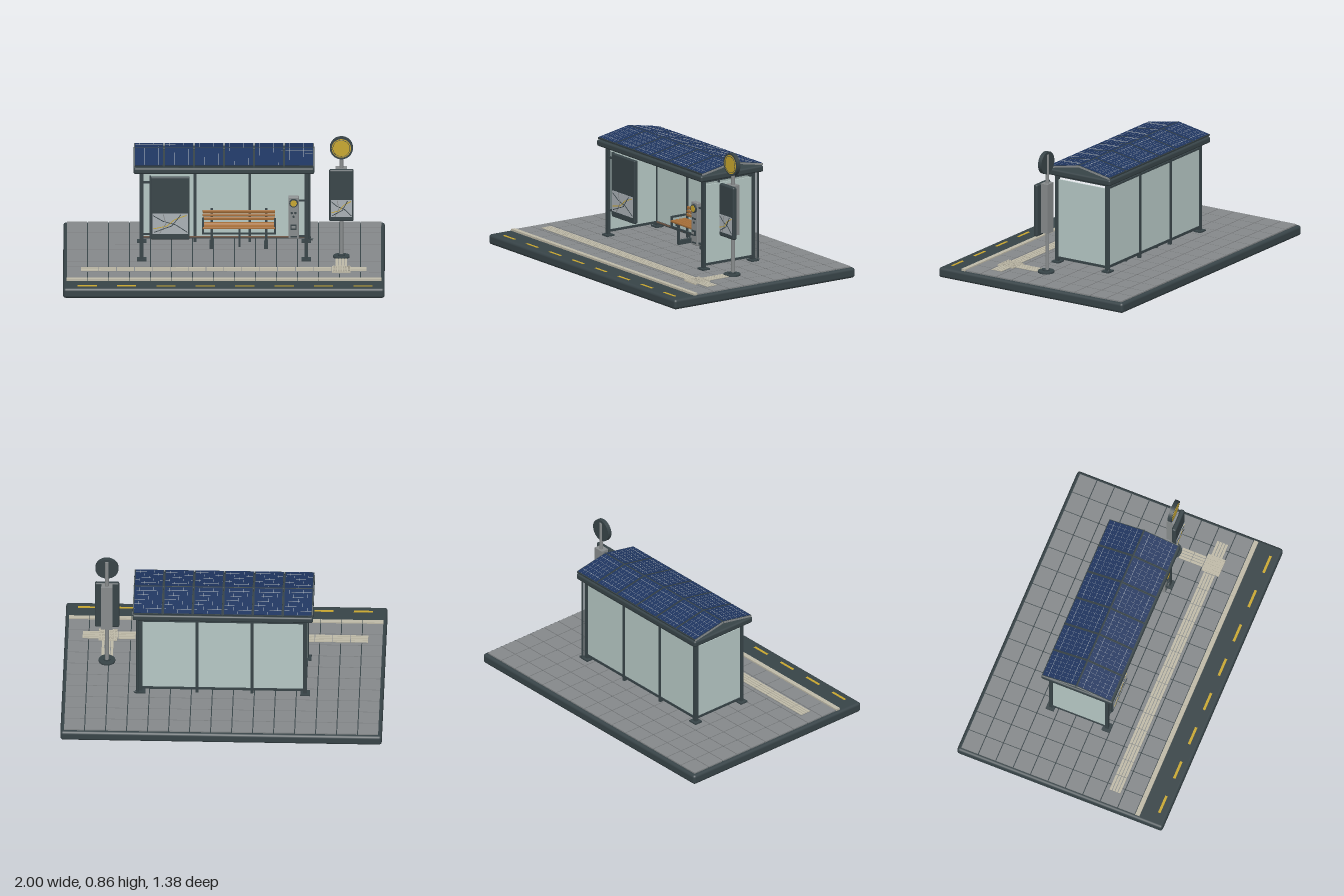
import * as THREE from 'three';
import { RoundedBoxGeometry } from 'three/addons/geometries/RoundedBoxGeometry.js';

const material = (name, color) => Object.assign(new THREE.MeshStandardMaterial({ color }), { name });
const dark = material('charcoal metal', 0x384448);
const paving = material('paving grey', 0x86898b);
const cream = material('cream concrete', 0xbfbaa8);
const yellow = material('signal yellow', 0xc9a72f);
const navy = material('solar navy', 0x1f3560);
const wood = material('bench wood', 0xa66e38);
const glass = material('pale glass', 0xb6c8c5);
const pale = material('pale print', 0xaab1b6);
const steel = material('steel grey', 0x888c8d);
const brown = material('soffit brown', 0x755b49);

function group(parent, name, x = 0, y = 0, z = 0) {
  const g = new THREE.Group();
  g.name = name;
  g.position.set(x, y, z);
  parent.add(g);
  return g;
}
function add(parent, name, geometry, mat, x, y, z) {
  const m = new THREE.Mesh(geometry, mat);
  m.name = name;
  m.position.set(x, y, z);
  parent.add(m);
  return m;
}
// Boxes are given by their limits on each axis
function box(parent, name, mat, [x0, x1], [y0, y1], [z0, z1], radius = 0) {
  const size = [x1 - x0, y1 - y0, z1 - z0];
  const geo = radius ? new RoundedBoxGeometry(...size, 3, radius) : new THREE.BoxGeometry(...size);
  return add(parent, name, geo, mat, (x0 + x1) / 2, (y0 + y1) / 2, (z0 + z1) / 2);
}
const rod = (parent, name, mat, r, y0, y1, x, z, sides = 16) =>
  add(parent, name, new THREE.CylinderGeometry(r, r, y1 - y0, sides), mat, x, (y0 + y1) / 2, z);
// Disc facing the front
function disc(parent, name, mat, r, depth, x, y, z) {
  const m = add(parent, name, new THREE.CylinderGeometry(r, r, depth, 40), mat, x, y, z);
  m.rotation.x = Math.PI / 2;
  return m;
}

// Printed route map: pale sheet with coloured line strokes
function routeMap(parent, w, h, x, y, z) {
  const g = group(parent, 'routeMap', x, y, z);
  box(g, 'mapSheet', pale, [-w / 2, w / 2], [-h / 2, h / 2], [-0.002, 0.002]);
  const strokes = [
    [dark, [[-0.48, 0.4], [-0.2, 0.12], [0.15, -0.05], [0.48, -0.42]]],
    [yellow, [[-0.48, -0.25], [-0.1, -0.12], [0.12, 0.2], [0.46, 0.42]]],
    [steel, [[-0.3, -0.48], [-0.12, 0], [-0.2, 0.48]]],
    [dark, [[-0.45, -0.42], [0.05, -0.1], [0.3, 0.45]]],
  ];
  strokes.forEach(([mat, pts], k) => {
    for (let i = 0; i < pts.length - 1; i++) {
      const [ax, ay] = [pts[i][0] * w, pts[i][1] * h];
      const [bx, by] = [pts[i + 1][0] * w, pts[i + 1][1] * h];
      const s = add(g, 'mapLine', new THREE.BoxGeometry(Math.hypot(bx - ax, by - ay), 0.0045, 0.002),
        mat, (ax + bx) / 2, (ay + by) / 2, 0.0025 + k * 0.0003);
      s.rotation.z = Math.atan2(by - ay, bx - ax);
    }
  });
}

function buildGround(root) {
  const g = group(root, 'ground');
  box(g, 'baseSlab', dark, [-1, 1], [0, 0.065], [-0.69, 0.69], 0.018);
  // Paving slabs with open joints
  const cols = 15, rows = 10, px = 1.96 / cols, pz = 1.17 / rows, gap = 0.003;
  for (let i = 0; i < cols; i++) for (let j = 0; j < rows; j++) {
    const x = -0.98 + i * px, z = -0.67 + j * pz;
    box(g, 'pavingSlab', paving, [x + gap, x + px - gap], [0.06, 0.073], [z + gap, z + pz - gap]);
  }
  // Kerb stones
  for (let i = 0; i < cols; i++) {
    const x = -0.98 + i * px;
    box(g, 'kerbStone', cream, [x + 0.001, x + px - 0.001], [0.06, 0.078], [0.502, 0.53]);
  }
  // Road dashes
  for (let i = 0; i < 8; i++) {
    const x = -0.85 + i * 0.245;
    box(g, 'roadDash', yellow, [x - 0.06, x + 0.06], [0.063, 0.067], [0.627, 0.643]);
  }
  // Ribbed guide strip along the kerb and its branch to the pole
  for (let i = 0; i < 16; i++) {
    const x = -0.89 + i * 0.11125;
    box(g, 'guideTile', steel, [x + 0.001, x + 0.11], [0.07, 0.076], [0.29, 0.366]);
    for (let k = 0; k < 4; k++)
      box(g, 'guideRib', cream, [x + 0.002, x + 0.109], [0.074, 0.08], [0.292 + k * 0.019, 0.307 + k * 0.019]);
  }
  for (let i = 0; i < 2; i++) {
    const z = 0.11 + i * 0.08;
    box(g, 'branchTile', steel, [0.692, 0.768], [0.07, 0.076], [z, z + 0.079]);
    for (let k = 0; k < 4; k++)
      box(g, 'branchRib', cream, [0.694 + k * 0.019, 0.709 + k * 0.019], [0.074, 0.08], [z + 0.001, z + 0.078]);
  }
  box(g, 'warningPad', cream, [0.672, 0.788], [0.07, 0.081], [0.272, 0.388]);
  for (let i = 0; i < 7; i++) for (let j = 0; j < 7; j++)
    rod(g, 'padDome', cream, 0.005, 0.08, 0.085, 0.682 + i * 0.016, 0.282 + j * 0.016, 8);
}

function buildShelter(root) {
  const g = group(root, 'shelter');
  // Corner posts and foot plates
  for (const x of [-0.512, 0.512]) for (const z of [-0.252, 0.123]) {
    box(g, 'post', dark, [x - 0.012, x + 0.012], [0.07, 0.66], [z - 0.011, z + 0.011]);
    box(g, 'footPlate', dark, [x - 0.03, x + 0.03], [0.07, 0.083], [z - 0.027, z + 0.027]);
  }
  // Back wall
  box(g, 'backGlass', glass, [-0.5, 0.5], [0.11, 0.615], [-0.255, -0.247]);
  for (const x of [-0.18, 0.16])
    box(g, 'mullion', dark, [x - 0.009, x + 0.009], [0.075, 0.65], [-0.262, -0.24]);
  box(g, 'backBottomRail', dark, [-0.5, 0.5], [0.097, 0.113], [-0.26, -0.242]);
  box(g, 'backRailTrim', brown, [-0.5, 0.5], [0.104, 0.113], [-0.242, -0.238]);
  box(g, 'backTopRail', dark, [-0.5, 0.5], [0.61, 0.622], [-0.258, -0.244]);
  // End walls
  for (const s of [-1, 1]) {
    const x = s * 0.512;
    box(g, 'endGlass', glass, [x - 0.004, x + 0.004], [0.11, 0.613], [-0.242, 0.113]);
    box(g, 'endBottomRail', dark, [x - 0.009, x + 0.009], [0.097, 0.112], [-0.242, 0.113]);
    box(g, 'endTopRail', dark, [x - 0.009, x + 0.009], [0.63, 0.65], [-0.242, 0.113]);
  }
  // Roof slab, soffit and small lamp
  box(g, 'roofSlab', dark, [-0.562, 0.562], [0.647, 0.688], [-0.302, 0.177], 0.012);
  box(g, 'soffit', brown, [-0.5, 0.5], [0.632, 0.65], [-0.235, 0.11]);
  rod(g, 'ceilingLamp', dark, 0.012, 0.622, 0.634, 0.45, -0.205);
  // Rain pipe with outlet
  rod(g, 'rainPipe', dark, 0.007, 0.085, 0.66, 0.532, -0.275, 10);
  const bend = new THREE.CatmullRomCurve3([[0.532, 0.1, -0.275], [0.535, 0.088, -0.275], [0.552, 0.08, -0.275]]
    .map(p => new THREE.Vector3(...p)));
  add(g, 'pipeOutlet', new THREE.TubeGeometry(bend, 8, 0.007, 10), dark, 0, 0, 0);

  // Two pitched rows of solar panels
  const angle = Math.atan2(0.043, 0.23), len = 0.236, pitch = 1.12 / 6;
  for (const s of [-1, 1]) {
    const row = group(g, s > 0 ? 'frontSolarRow' : 'backSolarRow', 0, 0.7185, -0.065 + s * 0.116);
    row.rotation.x = s * angle;
    for (let i = 0; i < 6; i++) {
      const x = -0.56 + (i + 0.5) * pitch;
      box(row, 'panelFrame', dark, [x - 0.091, x + 0.091], [-0.006, 0.005], [-len / 2, len / 2]);
      box(row, 'solarPanel', navy, [x - 0.086, x + 0.086], [0, 0.007], [-len / 2 + 0.005, len / 2 - 0.005]);
      for (const z of [-0.077, -0.037, 0.002, 0.041, 0.08]) {
        const w = Math.abs(Math.abs(z) - 0.0785) < 0.003 ? 0.0011 : 0.0005;
        box(row, 'cellLine', pale, [x - 0.084, x + 0.084], [0.006, 0.0076], [z - w, z + w]);
      }
      for (let k = -2; k <= 2; k++)
        box(row, 'cellLine', pale, [x + k * 0.029 - 0.0004, x + k * 0.029 + 0.0004], [0.006, 0.0076], [-0.11, 0.11]);
    }
    for (const x of [-0.555, 0.555])
      box(row, 'rowEdge', steel, [x - 0.005, x + 0.005], [-0.007, 0.004], [-len / 2, len / 2]);
  }
  const ridge = rod(g, 'ridgeCap', dark, 0.006, -0.56, 0.56, 0, -0.065, 10);
  ridge.position.y = 0.74;
  ridge.rotation.z = Math.PI / 2;

  // Information board hung from the front left post
  const board = group(g, 'informationBoard');
  box(board, 'boardCase', dark, [-0.455, -0.213], [0.21, 0.615], [0.11, 0.137], 0.006);
  box(board, 'boardRail', dark, [-0.463, -0.453], [0.22, 0.62], [0.115, 0.131]);
  for (const y of [0.242, 0.58]) box(board, 'boardBracket', dark, [-0.51, -0.455], [y - 0.005, y + 0.005], [0.116, 0.13]);
  routeMap(board, 0.222, 0.132, -0.334, 0.314, 0.138);

  // Ticket machine on the front right post
  const m = group(g, 'ticketMachine');
  box(m, 'machineCase', steel, [0.4, 0.466], [0.213, 0.49], [0.105, 0.138], 0.006);
  for (const y of [0.23, 0.46]) box(m, 'machineBracket', dark, [0.46, 0.505], [y - 0.005, y + 0.005], [0.116, 0.13]);
  disc(m, 'dialRing', dark, 0.027, 0.014, 0.433, 0.45, 0.141);
  disc(m, 'dialFace', yellow, 0.02, 0.004, 0.433, 0.45, 0.149);
  for (const [x, y] of [[0.422, 0.385], [0.444, 0.385], [0.433, 0.36]]) disc(m, 'button', dark, 0.007, 0.008, x, y, 0.141);
  box(m, 'cardReader', dark, [0.414, 0.452], [0.277, 0.31], [0.135, 0.148]);
  box(m, 'readerWindow', steel, [0.421, 0.445], [0.286, 0.301], [0.147, 0.15]);
  box(m, 'ticketSlot', dark, [0.413, 0.453], [0.226, 0.235], [0.135, 0.142]);
}

function buildBench(root) {
  const g = group(root, 'bench');
  for (let i = 0; i < 4; i++)
    box(g, 'seatSlat', wood, [-0.133, 0.318], [0.207, 0.221], [-0.195 + i * 0.029, -0.17 + i * 0.029], 0.004);
  for (let i = 0; i < 3; i++)
    box(g, 'backSlat', wood, [-0.133, 0.318], [0.23 + i * 0.022, 0.248 + i * 0.022], [-0.212 - i * 0.004, -0.2 - i * 0.004], 0.004);
  box(g, 'seatBeam', dark, [-0.13, 0.315], [0.172, 0.182], [-0.1, -0.088]);
  for (const x of [-0.077, 0.262]) {
    box(g, 'frontLeg', dark, [x - 0.007, x + 0.007], [0.073, 0.207], [-0.112, -0.098]);
    box(g, 'backLeg', dark, [x - 0.007, x + 0.007], [0.073, 0.3], [-0.228, -0.216]);
    box(g, 'seatBearer', dark, [x - 0.007, x + 0.007], [0.193, 0.207], [-0.225, -0.088]);
    box(g, 'legFoot', dark, [x - 0.012, x + 0.012], [0.073, 0.1], [-0.212, -0.1]);
  }
  box(g, 'middleLeg', dark, [0.089, 0.101], [0.073, 0.207], [-0.16, -0.145]);
  for (const x of [-0.131, 0.316]) {
    box(g, 'armRest', dark, [x - 0.006, x + 0.006], [0.235, 0.246], [-0.2, -0.085]);
    box(g, 'armPost', dark, [x - 0.006, x + 0.006], [0.172, 0.24], [-0.098, -0.086]);
  }
}

function buildStopPole(root) {
  const g = group(root, 'stopPole', 0.73, 0, 0.062);
  rod(g, 'poleFoot', dark, 0.052, 0.07, 0.084, 0, 0, 32);
  rod(g, 'poleCollar', dark, 0.022, 0.08, 0.093, 0, 0, 24);
  rod(g, 'pole', steel, 0.012, 0.08, 0.84, 0, -0.008, 20);
  // Round sign
  disc(g, 'signDisc', dark, 0.072, 0.026, 0, 0.786, 0);
  disc(g, 'signFace', yellow, 0.06, 0.004, 0, 0.786, 0.013);
  add(g, 'signRing', new THREE.TorusGeometry(0.053, 0.0015, 6, 40), dark, 0, 0.786, 0.015);
  // Timetable case with a steel housing behind
  box(g, 'timetableCase', dark, [-0.076, 0.076], [0.318, 0.655], [0.016, 0.045], 0.01);
  box(g, 'timetableHousing', steel, [-0.035, 0.035], [0.335, 0.655], [-0.033, 0.018]);
  routeMap(g, 0.13, 0.112, 0, 0.404, 0.046);
}

export function createModel() {
  const root = new THREE.Group();
  root.name = 'busShelter';
  buildGround(root);
  buildShelter(root);
  buildBench(root);
  buildStopPole(root);
  return root;
}
